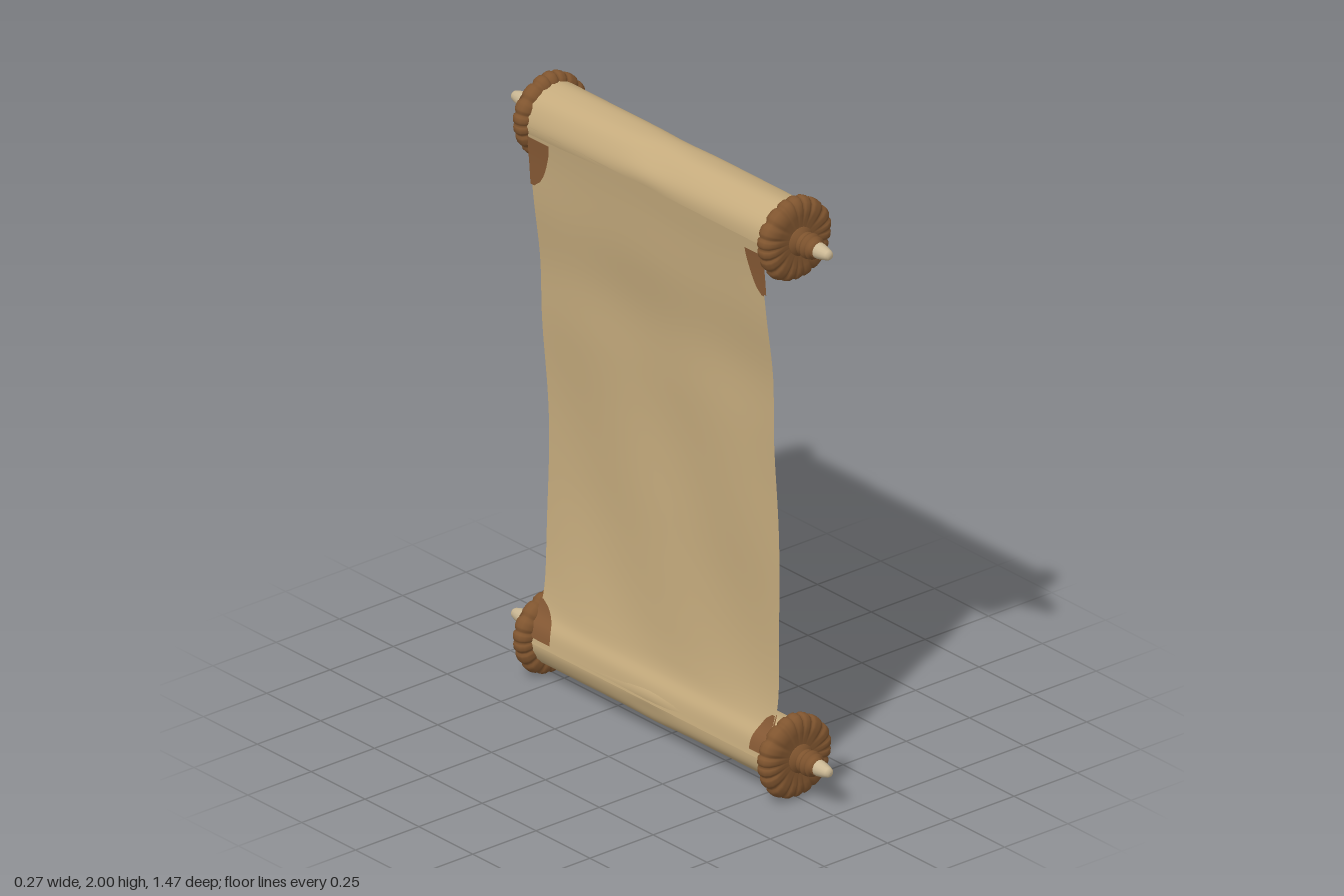
import * as THREE from 'three';

const mat = (name, color, side = THREE.FrontSide) => {
  const m = new THREE.MeshStandardMaterial({ color, side });
  m.name = name;
  return m;
};
const V2 = (list) => list.map(([r, h]) => new THREE.Vector2(r, h));

// Side profile of the hanging sheet, from the upper roller to the lower one
const sheetCurve = new THREE.CatmullRomCurve3([
  [-0.112, 1.865], [-0.1, 1.77], [-0.084, 1.6], [-0.058, 1.4], [-0.05, 1.2],
  [-0.041, 1.0], [-0.036, 0.8], [-0.034, 0.6], [-0.04, 0.42], [-0.052, 0.3],
  [-0.066, 0.235], [-0.088, 0.19], [-0.098, 0.135],
].map(([x, y]) => new THREE.Vector3(x, y, 0)));

// Point on the sheet: t runs down, z across, with a gentle warp
function sheetPoint(t, z, offset = 0) {
  const p = sheetCurve.getPoint(t);
  const warp = Math.sin(Math.PI * t) ** 2;
  p.x += offset + warp * (0.009 * Math.sin(z * 5 + t * 7) + 0.004 * Math.sin(z * 11 - t * 13));
  p.z = z;
  return p;
}

// Grid surface from a rule point(u, v)
function surface(nu, nv, point) {
  const g = new THREE.PlaneGeometry(1, 1, nu, nv);
  const pos = g.attributes.position;
  for (let i = 0; i < pos.count; i++) {
    const p = point(pos.getX(i) + 0.5, 0.5 - pos.getY(i));
    pos.setXYZ(i, p.x, p.y, p.z);
  }
  g.computeVertexNormals();
  return g;
}

// Carved end disc: a lathe with uneven radial grooves
function discGeometry() {
  const g = new THREE.LatheGeometry(V2([
    [0.001, 0.534], [0.07, 0.533], [0.105, 0.534], [0.124, 0.54], [0.135, 0.552], [0.138, 0.566],
    [0.135, 0.582], [0.124, 0.594], [0.105, 0.6], [0.085, 0.6], [0.06, 0.597], [0.03, 0.597], [0.001, 0.597],
  ]), 144);
  const pos = g.attributes.position;
  for (let i = 0; i < pos.count; i++) {
    const x = pos.getX(i), z = pos.getZ(i), y = pos.getY(i);
    const r = Math.hypot(x, z), a = Math.atan2(z, x);
    const groove = Math.abs(Math.cos(a * 9 + 0.7 * Math.sin(a * 4))) ** 8;
    const k = THREE.MathUtils.smoothstep(r, 0.06, 0.11) * groove;
    const s = 1 - 0.05 * k - 0.012 * (1 + Math.sin(a * 5)) * (r > 0.1 ? 1 : 0);
    pos.setXYZ(i, x * s, y + (0.566 - y) * 0.16 * k, z * s);
  }
  g.computeVertexNormals();
  return g.rotateX(Math.PI / 2);
}

export function createModel() {
  const model = new THREE.Group();
  model.name = 'scroll';
  const paper = mat('parchment', 0xc5ab7d, THREE.DoubleSide);
  const wood = mat('carved wood', 0x80552f);
  const leather = mat('leather corner', 0x875a35, THREE.DoubleSide);
  const ivory = mat('ivory tip', 0xcbb894);
  const add = (parent, name, geometry, material) => {
    const m = new THREE.Mesh(geometry, material);
    m.name = name;
    parent.add(m);
    return m;
  };

  // Hanging sheet with slightly uneven edges
  add(model, 'sheet', surface(32, 72, (u, v) =>
    sheetPoint(v, (u - 0.5) * 2 * (0.54 + 0.004 * Math.sin(v * 23 + u * 3)))), paper);

  // Corner patches on both faces: [side, edge t, inner t, width]
  const patches = [[1, 0.03, 0.125, 0.075], [-1, 0.03, 0.135, 0.1],
    [1, 0.97, 0.78, 0.07], [-1, 0.97, 0.78, 0.09]];
  for (const [side, t0, t1, width] of patches) {
    for (const offset of [0.004, -0.004]) {
      add(model, 'cornerPatch', surface(8, 10, (u, v) => {
        const w = width * Math.sqrt(1 - v * v * 0.97);
        return sheetPoint(t0 + (t1 - t0) * v, side * (0.543 - u * w), offset);
      }), leather);
    }
  }

  // Spindle of stacked rings, and its tip
  const spindle = new THREE.LatheGeometry(V2([
    [0.046, 0.594], [0.046, 0.602], [0.03, 0.606], [0.029, 0.612], [0.037, 0.616], [0.038, 0.622],
    [0.03, 0.627], [0.03, 0.632], [0.041, 0.637], [0.041, 0.644], [0.031, 0.648], [0.031, 0.653],
    [0.038, 0.657], [0.037, 0.663], [0.028, 0.667], [0.026, 0.682], [0.001, 0.682],
  ]), 24).rotateX(Math.PI / 2);
  const tip = new THREE.LatheGeometry(V2([
    [0.026, 0.68], [0.025, 0.69], [0.021, 0.71], [0.016, 0.728], [0.011, 0.735], [0.001, 0.736],
  ]), 14).rotateX(Math.PI / 2);
  const disc = discGeometry();

  // Two rollers, each with a disc, spindle and tip at both ends
  for (const [name, y, radius] of [['upperRoller', 1.864, 0.111], ['lowerRoller', 0.136, 0.096]]) {
    const roller = new THREE.Group();
    roller.name = name;
    roller.position.y = y;
    model.add(roller);
    add(roller, 'rolledPaper', surface(64, 30, (u, v) => {
      const a = u * Math.PI * 2, z = (v - 0.5) * 1.09;
      const dent = 0.003 * Math.exp(-z * z * 120) * Math.sin(a * 5);
      const r = radius + dent + 0.001 * Math.sin(a * 7 + z * 4);
      return new THREE.Vector3(Math.cos(a) * r, Math.sin(a) * r, z);
    }), paper);
    for (const turn of [0, Math.PI]) {
      const end = new THREE.Group();
      end.name = 'rollerEnd';
      end.rotation.y = turn;
      roller.add(end);
      add(end, 'disc', disc, wood);
      add(end, 'spindle', spindle, wood);
      add(end, 'tip', tip, ivory);
    }
  }
  return model;
}
